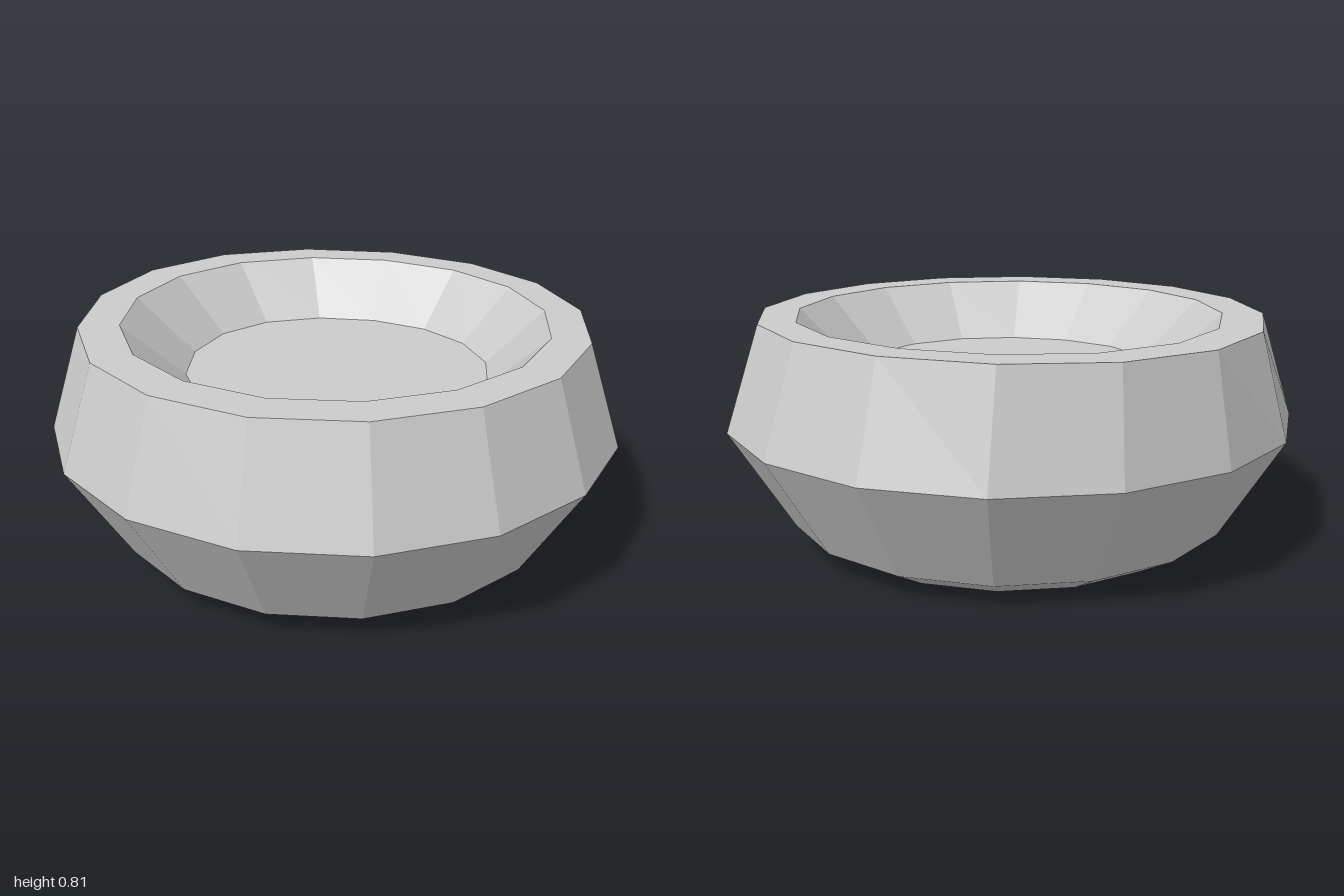
import * as THREE from 'three';

const SIDES = 16;

// A ring of corners: y height, a distance to the flats, dx/dz offset, s bulge towards -x
function ring({ y, a, dx = 0, dz = 0, s = 0 }) {
  const r = a / Math.cos(Math.PI / SIDES);
  return Array.from({ length: SIDES }, (_, j) => {
    const t = ((j + 0.5) / SIDES) * Math.PI * 2;
    const bulge = s * Math.max(0, -Math.cos(t)) ** 3;
    return [r * Math.cos(t) + dx - bulge, y, r * Math.sin(t) + dz];
  });
}

function facetedMesh(name, positions) {
  const geometry = new THREE.BufferGeometry();
  geometry.setAttribute('position', new THREE.Float32BufferAttribute(positions.flat(), 3));
  geometry.computeVertexNormals();
  const mesh = new THREE.Mesh(geometry, new THREE.MeshStandardMaterial({ color: 0xcccccc, flatShading: true }));
  mesh.name = name;
  return mesh;
}

// Faceted band between two rings
function band(name, from, to) {
  const p = ring(from), q = ring(to), out = [];
  for (let j = 0; j < SIDES; j++) {
    const k = (j + 1) % SIDES;
    out.push(p[j], q[j], q[k], p[j], q[k], p[k]);
  }
  return facetedMesh(name, out);
}

// Flat disc filling a ring
function cap(name, spec, up) {
  const p = ring(spec), out = [];
  const centre = [spec.dx ?? 0, spec.y, spec.dz ?? 0];
  for (let j = 0; j < SIDES; j++) {
    const k = (j + 1) % SIDES;
    out.push(centre, ...(up ? [p[k], p[j]] : [p[j], p[k]]));
  }
  return facetedMesh(name, out);
}

export function createModel() {
  const group = new THREE.Group();
  group.name = 'bowl';

  // Profile from the underside, round the outside and down into the basin
  const foot = { y: 0, a: 0.643 };
  const footTop = { y: 0.08, a: 0.785 };
  const belly = { y: 0.44, a: 1 };
  const rimOuter = { y: 0.81, a: 0.88, s: 0.063 };
  const rimInner = { y: 0.81, a: 0.745, dx: -0.005, dz: -0.01, s: 0.048 };
  const basin = { y: 0.61, a: 0.538, dx: -0.015, dz: -0.027, s: 0.042 };

  group.add(
    cap('underside', foot, false),
    band('footBevel', foot, footTop),
    band('lowerWall', footTop, belly),
    band('upperWall', belly, rimOuter),
    band('rim', rimOuter, rimInner),
    band('innerWall', rimInner, basin),
    cap('basinFloor', basin, true)
  );
  return group;
}
